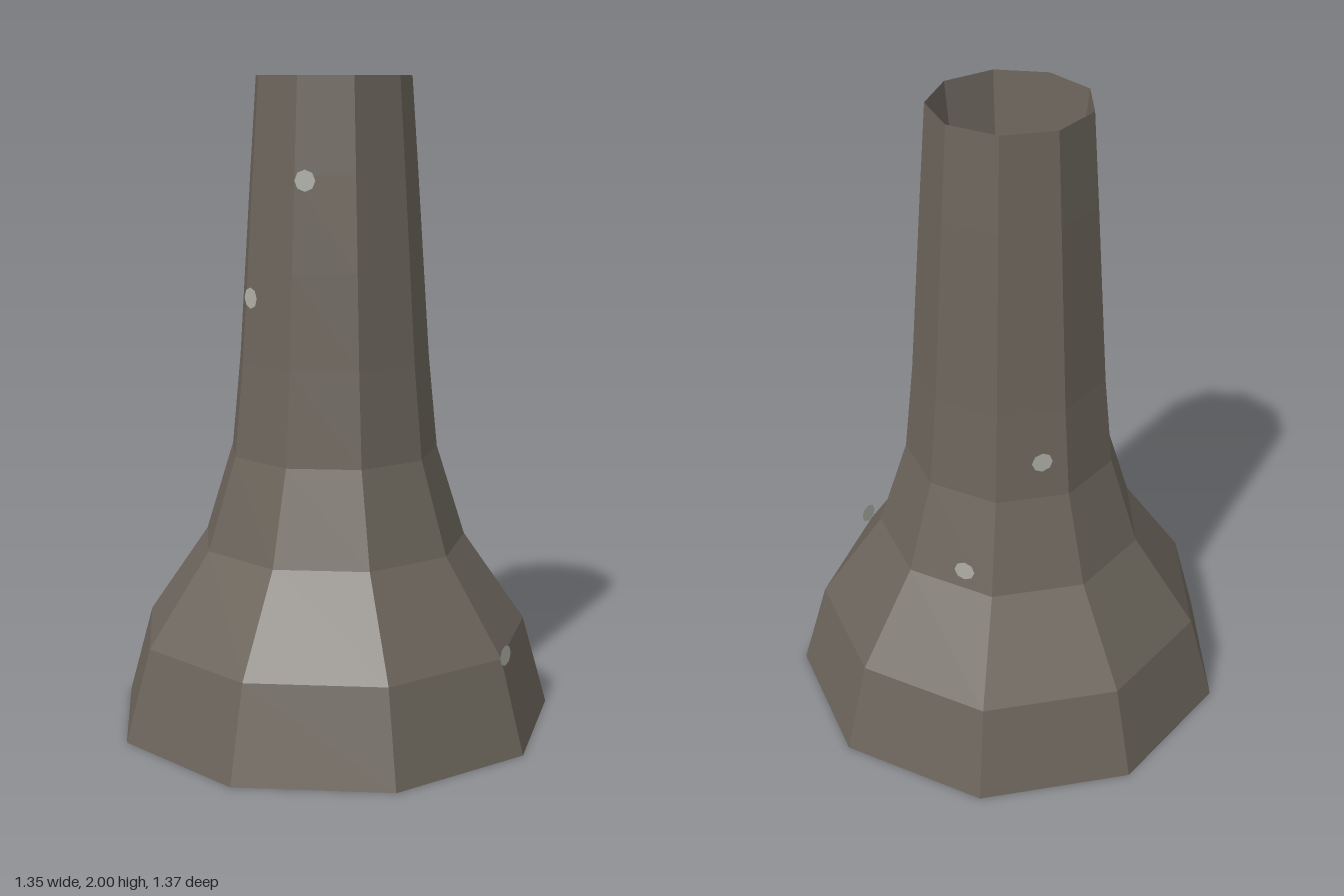
import * as THREE from 'three';

const SIDES = 9;
const AXIS_X = -0.021; // nine-sided ring is centred by its bounds, so its axis sits slightly off

export function createModel() {
  const group = new THREE.Group();
  const stone = new THREE.MeshStandardMaterial({ color: 0x6b645b, flatShading: true, side: THREE.DoubleSide });
  const pale = new THREE.MeshStandardMaterial({ color: 0xb0b0a8, side: THREE.DoubleSide });

  // Nine-sided surface of revolution with a corner on +x
  const revolve = (name, profile) => {
    const points = profile.map(([r, y]) => new THREE.Vector2(r, y));
    const mesh = new THREE.Mesh(new THREE.LatheGeometry(points, SIDES, Math.PI / 2), stone);
    mesh.name = name;
    mesh.position.x = AXIS_X;
    group.add(mesh);
  };

  // Flared outer wall, open at the bottom
  revolve('outerWall', [
    [0.694, 0], [0.614, 0.286], [0.418, 0.571], [0.328, 0.857],
    [0.3, 1.143], [0.281, 1.429], [0.262, 1.714], [0.242, 2],
  ]);

  // Deep funnel from the top rim down to a point at the base
  revolve('innerFunnel', [[0.242, 2], [0, 0]]);

  // Small flat discs around the wall: angle from +x towards +z, height, distance from axis
  const spots = [
    [0, 0.3, 0.628], [252, 0.65, 0.412], [216, 1.0, 0.333],
    [108, 1.35, 0.305], [72, 1.7, 0.275],
  ];
  const discGeometry = new THREE.CircleGeometry(0.032, 8);
  spots.forEach(([degrees, y, r], i) => {
    const a = THREE.MathUtils.degToRad(degrees);
    const disc = new THREE.Mesh(discGeometry, pale);
    disc.name = `wallDisc${i + 1}`;
    disc.position.set(AXIS_X + r * Math.cos(a), y, r * Math.sin(a));
    disc.rotation.y = Math.PI / 2 - a;
    group.add(disc);
  });

  return group;
}
